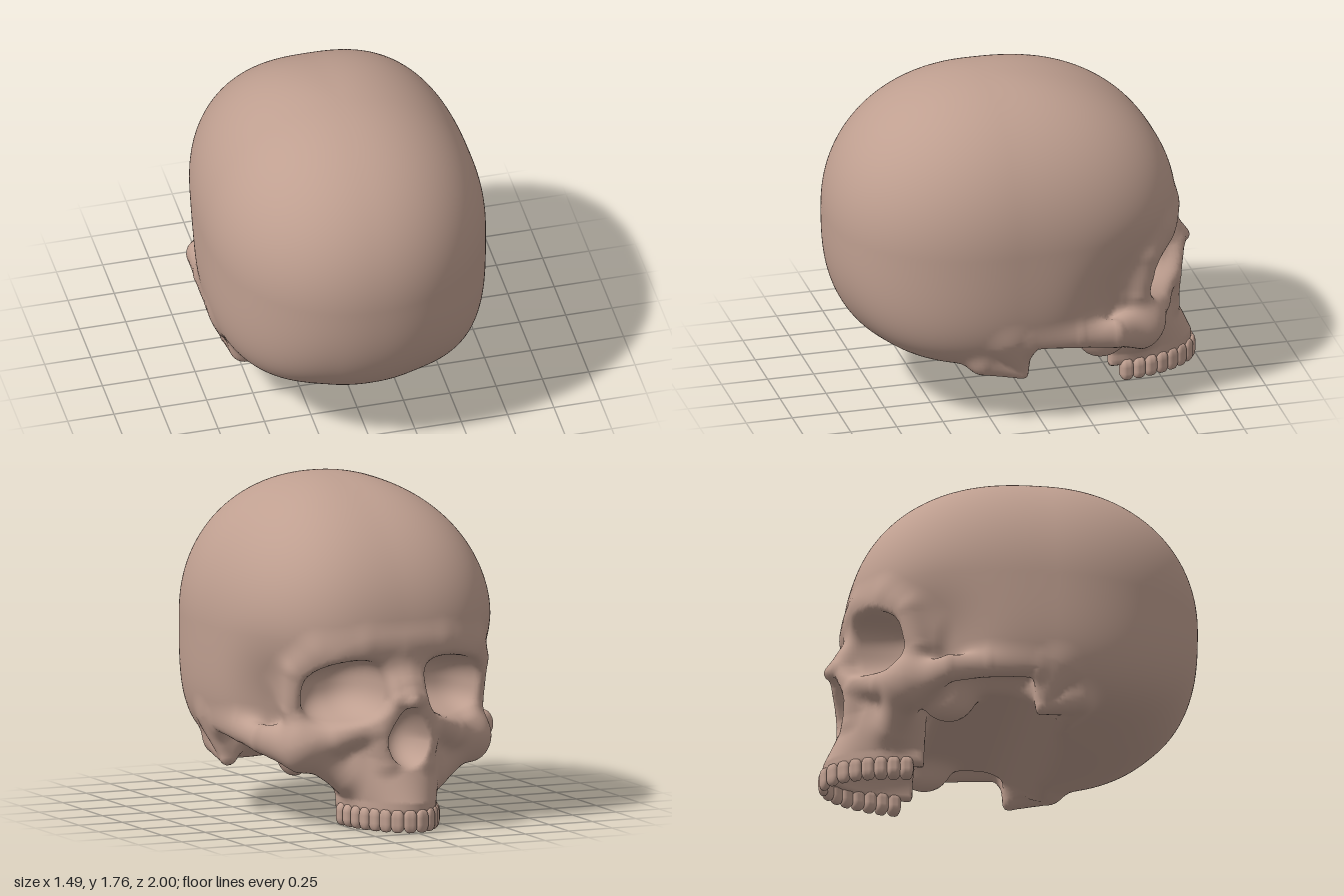
import * as THREE from 'three';
import { RoundedBoxGeometry } from 'three/addons/geometries/RoundedBoxGeometry.js';

const { clamp, smoothstep, lerp } = THREE.MathUtils;
const { abs, max, min, hypot, pow, exp } = Math;

// Soft union and soft intersection of two distances
const join = (a, b, k) => {
  const h = max(k - abs(a - b), 0) / k;
  return min(a, b) - h * h * k / 4;
};
const meet = (a, b, k) => -join(-a, -b, k);

// Ellipsoid: centre and radii
const ellipsoid = (x, y, z, [cx, cy, cz, rx, ry, rz]) => {
  const px = (x - cx) / rx, py = (y - cy) / ry, pz = (z - cz) / rz;
  const k = hypot(px, py, pz);
  return k * (k - 1) / (hypot(px / rx, py / ry, pz / rz) + 1e-6);
};

// Rounded bar along points [x, y, z, radius]
const bar = (x, y, z, points) => {
  let best = 9;
  for (let i = 0; i + 1 < points.length; i++) {
    const [ax, ay, az, ar] = points[i], [bx, by, bz, br] = points[i + 1];
    const dx = bx - ax, dy = by - ay, dz = bz - az;
    const t = clamp(((x - ax) * dx + (y - ay) * dy + (z - az) * dz) / (dx * dx + dy * dy + dz * dz), 0, 1);
    const d = hypot(x - ax - dx * t, y - ay - dy * t, z - az - dz * t) - ar - (br - ar) * t;
    best = join(best, d, 0.01);
  }
  return best;
};

// Bars on the model's left; the other side is mirrored. The face looks to -z.
const BROW = [[0, 0.95, -0.77, 0.075], [0.2, 0.96, -0.75, 0.075], [0.41, 0.93, -0.67, 0.07], [0.51, 0.83, -0.6, 0.05],
  [0.515, 0.62, -0.555, 0.05], [0.47, 0.45, -0.6, 0.085]];
const NASAL_RIM = [[0.07, 0.82, -0.77, 0.08], [0.055, 0.69, -0.87, 0.06], [0.13, 0.53, -0.82, 0.065], [0.1, 0.36, -0.83, 0.05]];
const NASAL_BONE = [[0, 0.86, -0.77, 0.08], [0, 0.76, -0.85, 0.065], [0, 0.69, -0.935, 0.035]];
const LOWER_RIM = [[0.47, 0.46, -0.6, 0.085], [0.33, 0.48, -0.7, 0.075], [0.18, 0.55, -0.79, 0.055]];
const CHEEK_SWEEP = [[0.46, 0.42, -0.59, 0.085], [0.26, 0.27, -0.63, 0.08]];
const MASTOID = [[0.6, 0.5, 0.17, 0.085], [0.6, 0.285, 0.1, 0.035], [0.57, 0.34, 0.3, 0.05], [0.42, 0.3, 0.2, 0.04]];
const ARCH = [[0.655, 0.485, 0.06, 0.035], [0.66, 0.475, -0.2, 0.045], [0.64, 0.46, -0.4, 0.055], [0.5, 0.425, -0.57, 0.08]];

// Braincase: a squarish egg, hollowed at the temples, sloping up below and cut back in front
function craniumField(a, y, z) {
  const front = z < 0.15, n = front ? 2.7 : 2.15;
  const m = y > 1 ? 2.1 : 2.85 + smoothstep(a, 0.2, 0.75);
  const h = pow(pow(a / 0.745, n) + pow(abs(z - 0.15) / (front ? 1 : 0.85), n), 1 / n);
  let d = (pow(pow(h, m) + pow(abs(y - 1) / 0.76, m), 1 / m) - 1) * 0.76;
  d += 0.1 * exp(-pow((z + 0.5) / 0.25, 2) - pow((y - 0.62) / 0.25, 2)) * smoothstep(a, 0.3, 0.5);
  d = meet(d, -0.795 * (z + 0.82) - 0.606 * (y - 0.92), 0.05);
  d = join(d, bar(a, y, z, MASTOID), 0.1);
  const base = y - 0.4 + 0.17 * smoothstep(z, -0.08, 0.35);
  const notch = max(z - 0.06, y - 0.47);
  return meet(d, -lerp(base, notch, smoothstep(a, 0.47, 0.58)), 0.02);
}

// Brow, nose, cheeks and upper jaw
function faceField(a, y, z) {
  let d = meet(ellipsoid(a, y, z, [0, 0.7, -0.45, 0.55, 0.36, 0.38]), z + 0.46, 0.04);
  const t = clamp((y - 0.15) / 0.23, 0, 1);
  let jaw = (hypot(a / (0.25 + 0.08 * t), min(z + 0.5, 0) / (0.475 - 0.105 * t)) - 1) * 0.3;
  jaw = meet(jaw, max(z + 0.47, 0.08 - y, y - 0.6), 0.04);
  d = join(d, jaw, 0.06);
  d = join(d, bar(a, y, z, BROW), 0.08);
  d = join(d, bar(a, y, z, NASAL_RIM), 0.06);
  d = join(d, bar(a, y, z, NASAL_BONE), 0.05);
  d = join(d, bar(a, y, z, LOWER_RIM), 0.06);
  d = join(d, bar(a, y, z, CHEEK_SWEEP), 0.1);
  return join(d, ellipsoid(a, y, z, [0.44, 0.38, -0.38, 0.08, 0.13, 0.14]), 0.04);
}

// Cheek arch: a bar taller than it is thick
const archField = (a, y, z) => bar(a, 0.46 + (y - 0.46) * 0.75, z, ARCH);

// Eye sockets, nose opening and palate are hollowed out of the joined bone
function skullField(x, y, z) {
  const a = abs(x);
  let d = join(craniumField(a, y, z), faceField(a, y, z), 0.1);
  d = join(d, archField(a, y, z), 0.07);
  const ox = abs(a - 0.315) / 0.205, oy = abs(y - 0.73 + (a - 0.315) * 0.15) / 0.165, oz = abs(z + 0.8) / 0.34;
  const socket = (pow(pow(ox, 2.6) + pow(oy, 2.6) + pow(oz, 2.6), 1 / 2.6) - 1) * 0.18;
  d = meet(d, -socket, 0.04);
  const nose = ellipsoid(a * (1 + max(y - 0.48, 0) * 2.5), y, z, [0, 0.49, -0.92, 0.12, 0.16, 0.23]);
  d = meet(d, -nose, 0.02);
  return meet(d, -ellipsoid(a, y, z, [0, 0.06, -0.56, 0.195, 0.22, 0.35]), 0.02);
}

// Skin the field on a regular grid; returns positions, normals and triangles
function skin(field, lo, hi, step) {
  const n = lo.map((v, i) => Math.ceil((hi[i] - v) / step) + 1);
  const stride = [1, n[0], n[0] * n[1]];
  const values = new Float32Array(n[0] * n[1] * n[2]);
  const vertexOf = new Int32Array(values.length).fill(-1);
  const eachNode = (visit) => {
    for (let k = 0, id = 0; k < n[2]; k++)
      for (let j = 0; j < n[1]; j++)
        for (let i = 0; i < n[0]; i++, id++) visit(id, [i, j, k]);
  };
  eachNode((id, c) => { values[id] = field(...c.map((v, i) => lo[i] + v * step)); });

  const positions = [], normals = [], triangles = [];
  eachNode((id, c) => {
    if (c.some((v, i) => v >= n[i] - 1)) return;
    // One vertex in each crossed cell, at the mean of its edge crossings
    const sum = [0, 0, 0];
    let count = 0;
    for (let corner = 0; corner < 8; corner++)
      for (let axis = 0; axis < 3; axis++) {
        if (corner >> axis & 1) continue;
        const bits = [corner & 1, corner >> 1 & 1, corner >> 2 & 1];
        const from = id + bits[0] * stride[0] + bits[1] * stride[1] + bits[2] * stride[2];
        const v0 = values[from], v1 = values[from + stride[axis]];
        if ((v0 < 0) === (v1 < 0)) continue;
        bits[axis] = v0 / (v0 - v1);
        bits.forEach((b, i) => { sum[i] += b; });
        count++;
      }
    if (!count) return;
    const p = sum.map((s, i) => lo[i] + (c[i] + s / count) * step);
    const slope = () => [0, 1, 2].map((i) => {
      const q = p.slice(), r = p.slice();
      q[i] += 0.004; r[i] -= 0.004;
      return (field(...q) - field(...r)) / 0.008;
    });
    // Settle the vertex onto the surface
    let g = slope();
    const move = clamp(field(...p) / max(g[0] * g[0] + g[1] * g[1] + g[2] * g[2], 0.05), -step / 3, step / 3);
    g.forEach((v, i) => { p[i] -= v * move; });
    g = slope();
    const length = hypot(...g) || 1;
    vertexOf[id] = positions.length / 3;
    positions.push(...p);
    normals.push(...g.map((v) => v / length));
  });
  // One quad around each crossed grid edge
  eachNode((id, c) => {
    for (let axis = 0; axis < 3; axis++) {
      const u = (axis + 1) % 3, v = (axis + 2) % 3;
      if (c[axis] >= n[axis] - 1 || !c[u] || !c[v]) continue;
      const inside = values[id] < 0;
      if (inside === (values[id + stride[axis]] < 0)) continue;
      const quad = [id - stride[u] - stride[v], id - stride[v], id, id - stride[u]].map((i) => vertexOf[i]);
      if (quad.includes(-1)) continue;
      if (!inside) quad.reverse();
      triangles.push([quad[0], quad[1], quad[2]], [quad[0], quad[2], quad[3]]);
    }
  });
  return { positions, normals, triangles };
}

export function createModel() {
  const model = new THREE.Group();
  model.name = 'skull';
  const bone = new THREE.MeshStandardMaterial({ color: 0xbf9f90 });
  bone.name = 'bone';

  // Bones share one smooth skin, split by the nearest part
  const { positions, normals, triangles } = skin(skullField, [-0.79, 0.03, -1.03], [0.79, 1.82, 1.05], 0.021);
  const position = new THREE.Float32BufferAttribute(positions, 3);
  const normal = new THREE.Float32BufferAttribute(normals, 3);
  const parts = { cranium: [], face: [], leftCheekArch: [], rightCheekArch: [] };
  for (const triangle of triangles) {
    const [x, y, z] = positions.slice(triangle[0] * 3, triangle[0] * 3 + 3);
    const c = craniumField(abs(x), y, z), f = faceField(abs(x), y, z), a = archField(abs(x), y, z);
    const name = a < min(c, f) ? (x > 0 ? 'leftCheekArch' : 'rightCheekArch') : c < f ? 'cranium' : 'face';
    parts[name].push(...triangle);
  }
  for (const [name, index] of Object.entries(parts)) {
    const geometry = new THREE.BufferGeometry();
    geometry.setAttribute('position', position);
    geometry.setAttribute('normal', normal);
    geometry.setIndex(index);
    const mesh = new THREE.Mesh(geometry, bone);
    mesh.name = name;
    model.add(mesh);
  }

  // Upper teeth, evenly spaced along the jaw and thicker at the back
  const teeth = new THREE.Group();
  teeth.name = 'upperTeeth';
  const crown = new RoundedBoxGeometry(1, 1, 1, 3, 0.36);
  const jawLine = new THREE.EllipseCurve(0, -0.5, 0.232, 0.473, -0.14, -Math.PI + 0.14, true);
  for (let i = 0; i < 16; i++) {
    const u = i / 15, at = jawLine.getPointAt(u), along = jawLine.getTangentAt(u);
    const back = smoothstep(abs(u - 0.5), 0.15, 0.45);
    const tooth = new THREE.Mesh(crown, bone);
    tooth.name = 'tooth';
    tooth.position.set(at.x, 0.06, at.y);
    tooth.rotation.y = -Math.atan2(along.y, along.x);
    tooth.scale.set(0.07, 0.12, 0.05 + 0.035 * back);
    teeth.add(tooth);
  }
  model.add(teeth);
  return model;
}
